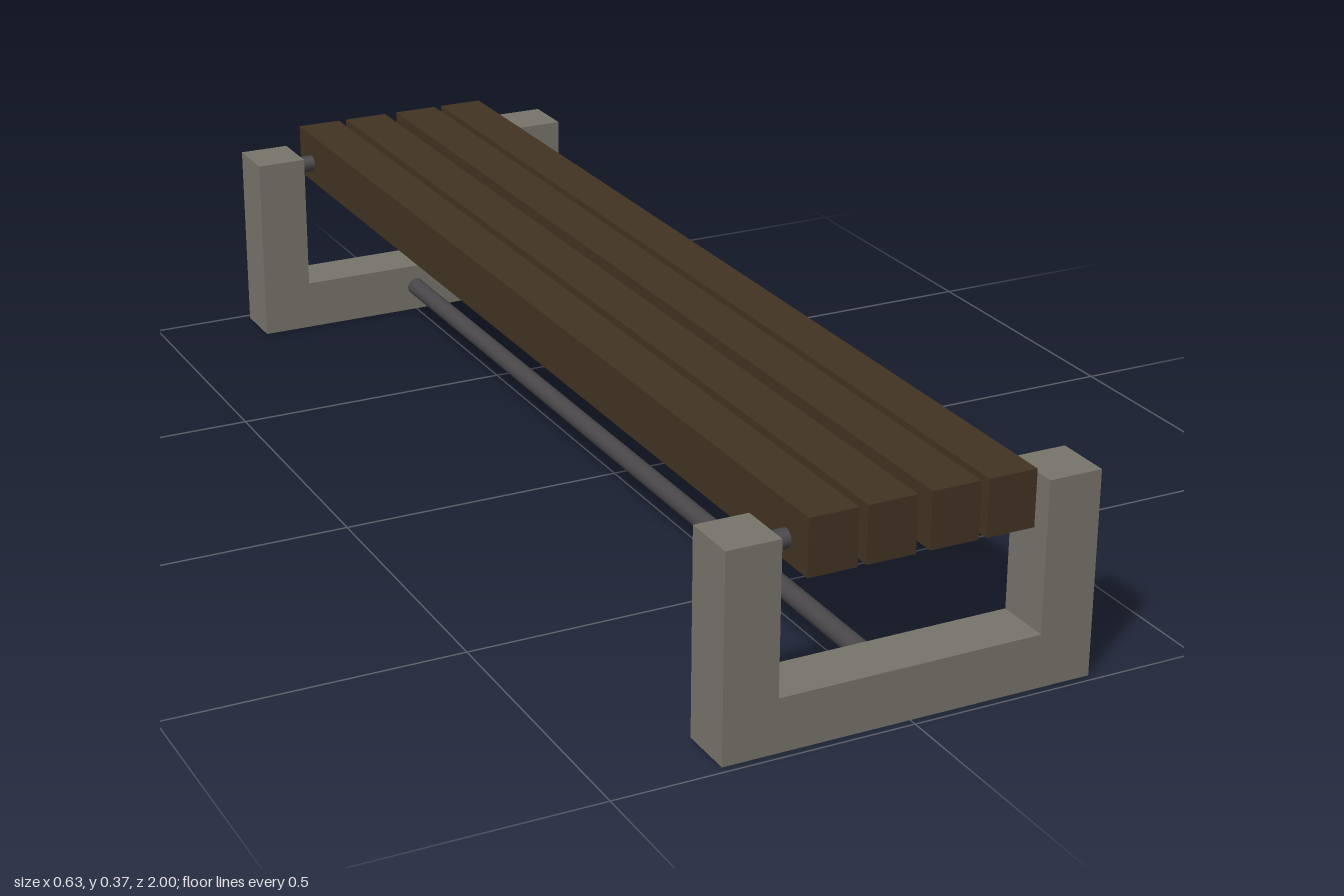
import * as THREE from 'three';

export function createModel() {
  const concrete = new THREE.MeshStandardMaterial({ color: 0x78756b });
  concrete.name = 'concrete';
  const wood = new THREE.MeshStandardMaterial({ color: 0x423422 });
  wood.name = 'dark wood';
  const metal = new THREE.MeshStandardMaterial({ color: 0x4a474a });
  metal.name = 'dark metal';

  const bench = new THREE.Group();
  bench.name = 'bench';
  const add = (name, geometry, material, x, y, z) => {
    const mesh = new THREE.Mesh(geometry, material);
    mesh.name = name;
    mesh.position.set(x, y, z);
    bench.add(mesh);
    return mesh;
  };

  // U-shaped end frame outline
  const outer = 0.315, inner = 0.224, top = 0.343, base = 0.09, depth = 0.097;
  const outline = new THREE.Shape([
    [-outer, 0], [outer, 0], [outer, top], [inner, top],
    [inner, base], [-inner, base], [-inner, top], [-outer, top],
  ].map(([x, y]) => new THREE.Vector2(x, y)));
  const frameGeometry = new THREE.ExtrudeGeometry(outline, { depth, bevelEnabled: false });
  frameGeometry.translate(0, 0, -depth / 2);

  // End frames, each with a cross rod carrying the slats
  const rodGeometry = new THREE.CylinderGeometry(0.0155, 0.0155, inner * 2, 16);
  rodGeometry.rotateZ(Math.PI / 2);
  for (const [label, side] of [['front', 1], ['back', -1]]) {
    const z = side * 0.938;
    add(label + 'Frame', frameGeometry, concrete, 0, 0, z);
    add(label + 'Rod', rodGeometry, metal, 0, 0.317, z);
  }

  // Seat slats
  const slatGeometry = new THREE.BoxGeometry(0.082, 0.094, 2);
  [-0.149, -0.052, 0.054, 0.15].forEach((x, i) =>
    add('seatSlat' + (i + 1), slatGeometry, wood, x, 0.327, 0));

  // Long stretcher between the frame bases
  const stretcherGeometry = new THREE.CylinderGeometry(0.017, 0.017, 1.8, 12);
  stretcherGeometry.rotateX(Math.PI / 2);
  add('stretcher', stretcherGeometry, metal, 0, 0.047, 0);

  return bench;
}
